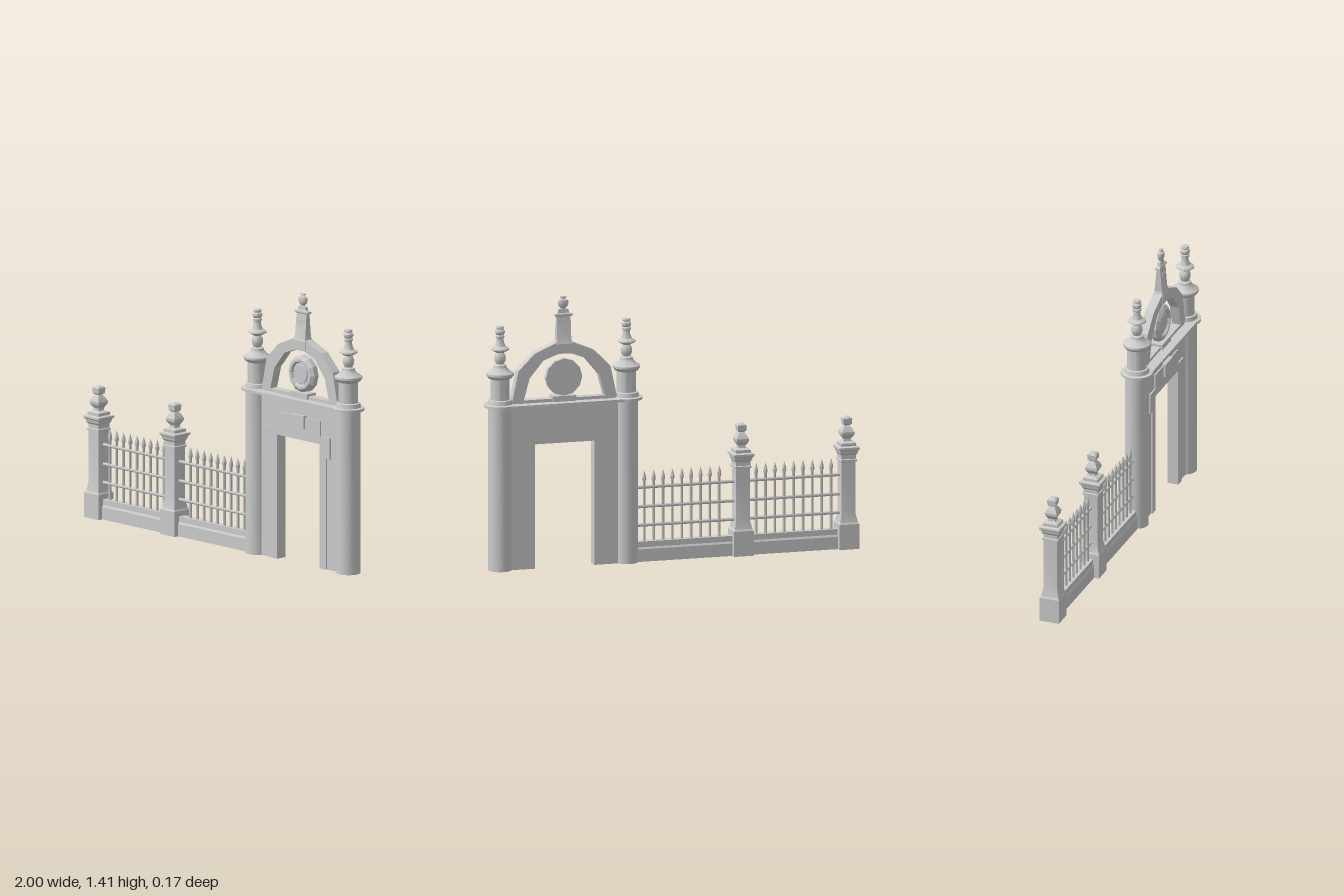
import * as THREE from 'three';
import { toCreasedNormals } from 'three/addons/utils/BufferGeometryUtils.js';

const material = new THREE.MeshStandardMaterial({ color: 0xcccccc });
const GATE_X = 0.574;
const COLUMN_X = [0.235, 0.912];
const POST_X = [-0.944, -0.379];

function add(parent, name, geometry, x = 0, y = 0, z = 0) {
  const mesh = new THREE.Mesh(geometry, material);
  mesh.name = name;
  mesh.position.set(x, y, z);
  parent.add(mesh);
  return mesh;
}

// Box given by its limits in x, y and z
function block(parent, name, x0, x1, y0, y1, z0, z1) {
  const g = new THREE.BoxGeometry(x1 - x0, y1 - y0, z1 - z0);
  return add(parent, name, g, (x0 + x1) / 2, (y0 + y1) / 2, (z0 + z1) / 2);
}

const vectors = (points) => points.map(([x, y]) => new THREE.Vector2(x, y));

// Round turned part from [radius, height] pairs
function turned(profile, segments = 32) {
  return toCreasedNormals(new THREE.LatheGeometry(vectors(profile), segments), 0.6);
}

// Square part from [half width, height] pairs
function squareTurned(profile) {
  const points = vectors(profile.map(([w, y]) => [w * Math.SQRT2, y]));
  return toCreasedNormals(new THREE.LatheGeometry(points, 4, Math.PI / 4), 0.3);
}

// Flat outline extruded between two depths
function slab(points, z0, z1) {
  const g = new THREE.ExtrudeGeometry(new THREE.Shape(vectors(points)), { depth: z1 - z0, bevelEnabled: false });
  return g.translate(0, 0, z0);
}

// Half outline (x >= 0) completed by its mirror image
const mirrored = (half) => [...half, ...half.map(([x, y]) => [-x, y]).reverse()];

const COLUMN = [[0, 0], [0.061, 0], [0.061, 0.85], [0.083, 0.853], [0.083, 0.866], [0.065, 0.869],
  [0.06, 0.89], [0.05, 0.893], [0.05, 1], [0.06, 1.005], [0.071, 1.019], [0.071, 1.03],
  [0.05, 1.043], [0.034, 1.06], [0.032, 1.072], [0.02, 1.078]];
const URN = [[0.02, 1.078], [0.028, 1.095], [0.03, 1.11], [0.026, 1.125], [0.019, 1.137], [0.03, 1.143],
  [0.048, 1.153], [0.046, 1.16], [0.028, 1.171], [0.02, 1.19], [0.018, 1.212], [0.023, 1.216],
  [0.023, 1.225], [0.018, 1.23], [0.025, 1.24], [0.025, 1.25], [0.017, 1.26], [0.022, 1.265],
  [0.02, 1.273], [0, 1.276]];

const POST = [[0, 0], [0.053, 0], [0.053, 0.13], [0.047, 0.14], [0.037, 0.185], [0.037, 0.455],
  [0.043, 0.457], [0.043, 0.467], [0.038, 0.47], [0.038, 0.49], [0.045, 0.5], [0.048, 0.515],
  [0.056, 0.522], [0.056, 0.532], [0.04, 0.537], [0.04, 0.552], [0.02, 0.56]];
const POST_FINIAL = [[0.02, 0.56], [0.018, 0.572], [0.032, 0.594], [0.033, 0.608], [0.025, 0.625],
  [0.013, 0.642], [0.022, 0.65], [0.024, 0.678], [0.015, 0.686], [0, 0.69]];

function createGateway() {
  const gate = new THREE.Group();
  gate.name = 'gateway';

  for (const x of COLUMN_X) {
    add(gate, 'column', turned(COLUMN), x);
    add(gate, 'columnUrn', turned(URN), x);
  }

  // Wall around the doorway
  const wall = mirrored([[0.159, 0], [0.315, 0], [0.315, 0.852], [0, 0.852]].slice(0, 3));
  const opening = [[-0.159, 0.65], [0.159, 0.65]];
  add(gate, 'wall', slab([...opening, ...wall], -0.027, 0.025), GATE_X);

  // Raised surround with stepped ears
  const surround = mirrored([[0.159, 0], [0.205, 0], [0.205, 0.58], [0.233, 0.58], [0.233, 0.69],
    [0.16, 0.69], [0.16, 0.77]]);
  add(gate, 'doorSurround', slab([...opening, ...surround], 0.025, 0.033), GATE_X);
  block(gate, 'plaque', 0.524, 0.625, 0.71, 0.78, 0.025, 0.046);

  // Cornice with rounded ends
  const cornice = new THREE.Shape();
  cornice.absarc(COLUMN_X[1], 0, 0.076, -Math.PI / 2, Math.PI / 2);
  cornice.absarc(COLUMN_X[0], 0, 0.076, Math.PI / 2, Math.PI * 1.5);
  const corniceGeometry = new THREE.ExtrudeGeometry(cornice, { depth: 0.014, bevelEnabled: false, curveSegments: 20 });
  corniceGeometry.rotateX(-Math.PI / 2);
  add(gate, 'cornice', toCreasedNormals(corniceGeometry, 0.6), 0, 0.852);
  block(gate, 'parapet', 0.28, 0.868, 0.864, 0.882, -0.022, 0.022);

  // Faceted arch
  const outer = mirrored([[0.283, 0.866], [0.246, 1.037], [0.16, 1.123], [0.043, 1.172]]);
  const inner = mirrored([[0.222, 0.866], [0.187, 0.995], [0.112, 1.085], [0.03, 1.115]]).reverse();
  add(gate, 'arch', slab([...outer, ...inner], -0.024, 0.024), GATE_X);

  // Medallion on its base: the dished face looks forward
  block(gate, 'medallionBase', 0.511, 0.637, 0.864, 0.895, -0.032, 0.032);
  const medallion = toCreasedNormals(new THREE.LatheGeometry(vectors([[0, -0.018], [0.097, -0.018],
    [0.097, 0.01], [0.08, 0.024], [0.066, 0.024], [0.06, 0.012], [0.05, 0.012], [0.048, 0.018], [0, 0.018]]), 12), 0.3);
  medallion.rotateX(Math.PI / 2);
  add(gate, 'medallion', medallion, GATE_X, 0.99);

  // Crowning pedestal and flattened finial
  const pedestal = squareTurned([[0, 1.115], [0.046, 1.115], [0.046, 1.165], [0.038, 1.185], [0.037, 1.305],
    [0.048, 1.31], [0.048, 1.318], [0.03, 1.324], [0.026, 1.342], [0.014, 1.346]]);
  const p = pedestal.attributes.position;
  for (let i = 0; i < p.count; i++) {
    const taper = THREE.MathUtils.clamp((p.getY(i) - 1.165) / 0.1, 0, 1);
    p.setZ(i, p.getZ(i) * THREE.MathUtils.lerp(0.6, 0.28, taper));
  }
  add(gate, 'pedestal', toCreasedNormals(pedestal, 0.3), GATE_X);
  block(gate, 'pedestalPanel', GATE_X - 0.018, GATE_X + 0.018, 1.215, 1.275, 0, 0.015);
  const finial = add(gate, 'crownFinial', turned([[0.014, 1.34], [0.014, 1.35], [0.025, 1.36], [0.029, 1.375],
    [0.027, 1.39], [0.014, 1.395], [0.012, 1.402], [0.018, 1.404], [0.016, 1.41], [0, 1.411]], 12), GATE_X);
  finial.scale.z = 0.62;
  return gate;
}

// One run of fence: plinth, three rails and nine pickets
function createFence(x0, x1, firstPicket) {
  const fence = new THREE.Group();
  fence.name = 'fencePanel';
  const length = x1 - x0;

  const plinth = slab(mirrored([[0.026, 0], [0.026, 0.065], [0.02, 0.075], [0.02, 0.104]]), 0, length);
  plinth.rotateY(Math.PI / 2);
  add(fence, 'plinth', plinth, x0);

  for (const y of [0.187, 0.284, 0.385]) {
    const rail = new THREE.CylinderGeometry(0.009, 0.009, length, 8);
    rail.rotateZ(Math.PI / 2);
    add(fence, 'rail', rail, (x0 + x1) / 2, y);
  }
  const picket = turned([[0.0075, 0.1], [0.0075, 0.415], [0.012, 0.425], [0.009, 0.445], [0, 0.474]], 8);
  for (let i = 0; i < 9; i++) add(fence, 'picket', picket, firstPicket + i * 0.0502);
  return fence;
}

export function createModel() {
  const model = new THREE.Group();
  model.name = 'gateAndFence';
  model.add(createGateway());
  for (const x of POST_X) {
    add(model, 'fencePost', squareTurned(POST), x);
    add(model, 'postFinial', squareTurned(POST_FINIAL), x);
  }
  model.add(createFence(POST_X[0] + 0.03, POST_X[1] - 0.03, -0.861));
  model.add(createFence(POST_X[1] + 0.03, COLUMN_X[0] - 0.04, -0.262));
  return model;
}
